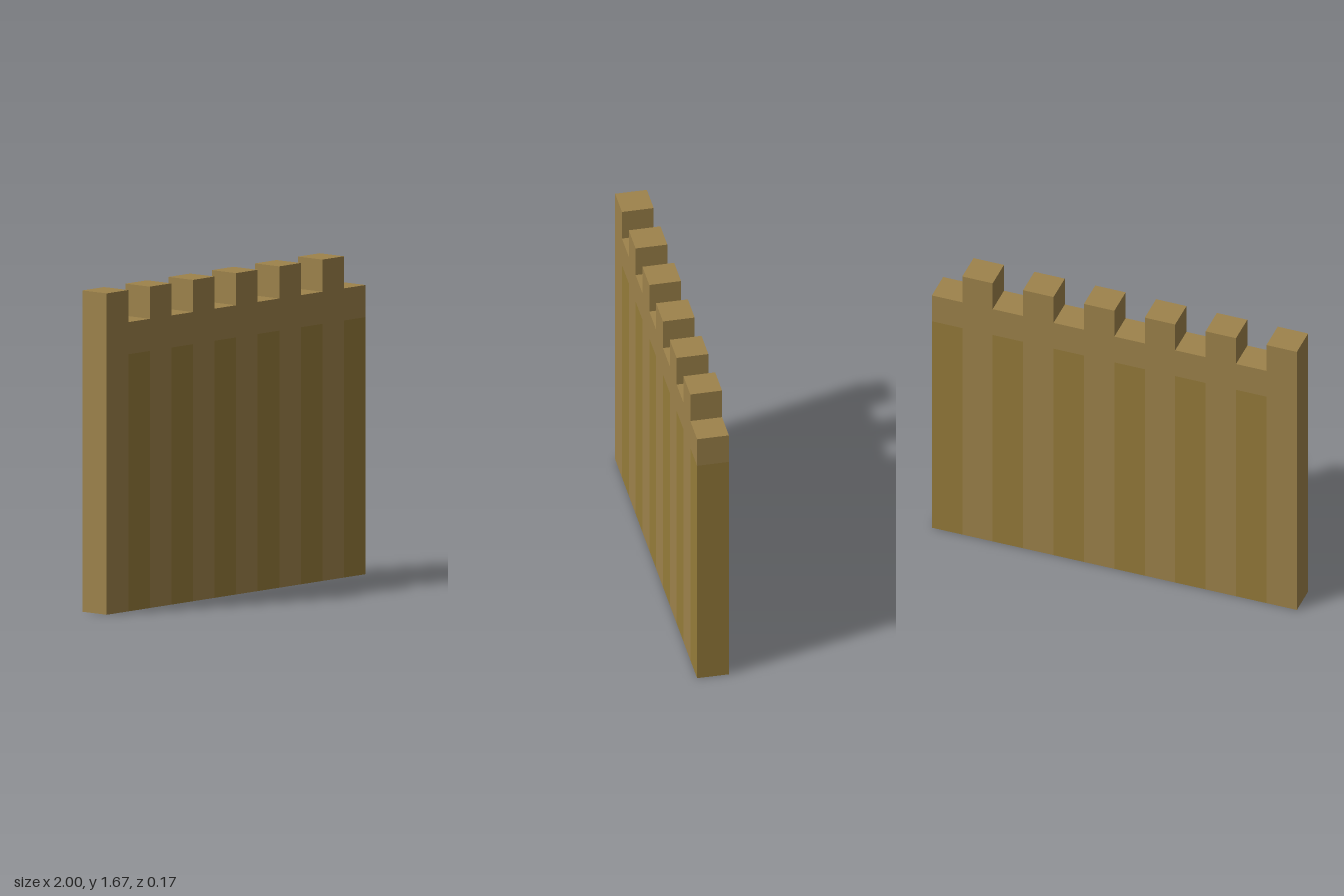
import * as THREE from 'three';

const UNIT = 1 / 6; // width and depth of one post

export function createModel() {
  const group = new THREE.Group();
  group.name = 'palisadeWall';

  const lightWood = new THREE.MeshStandardMaterial({ color: 0x9e834b, flatShading: true });
  const darkWood = new THREE.MeshStandardMaterial({ color: 0x967c3a, flatShading: true });

  // One square block of a post, from height y0 to y1
  function block(name, x, y0, y1, material) {
    const mesh = new THREE.Mesh(new THREE.BoxGeometry(UNIT, y1 - y0, UNIT), material);
    mesh.position.set(x, (y0 + y1) / 2, 0);
    mesh.name = name;
    group.add(mesh);
  }

  // Tall light posts alternate with short dark posts that carry a light cap
  for (let i = 0; i < 12; i++) {
    const x = -1 + (i + 0.5) * UNIT;
    if (i % 2 === 0) {
      block('tallPost', x, 0, 10 * UNIT, lightWood);
    } else {
      block('shortPost', x, 0, 8 * UNIT, darkWood);
      block('shortPostCap', x, 8 * UNIT, 9 * UNIT, lightWood);
    }
  }

  return group;
}
